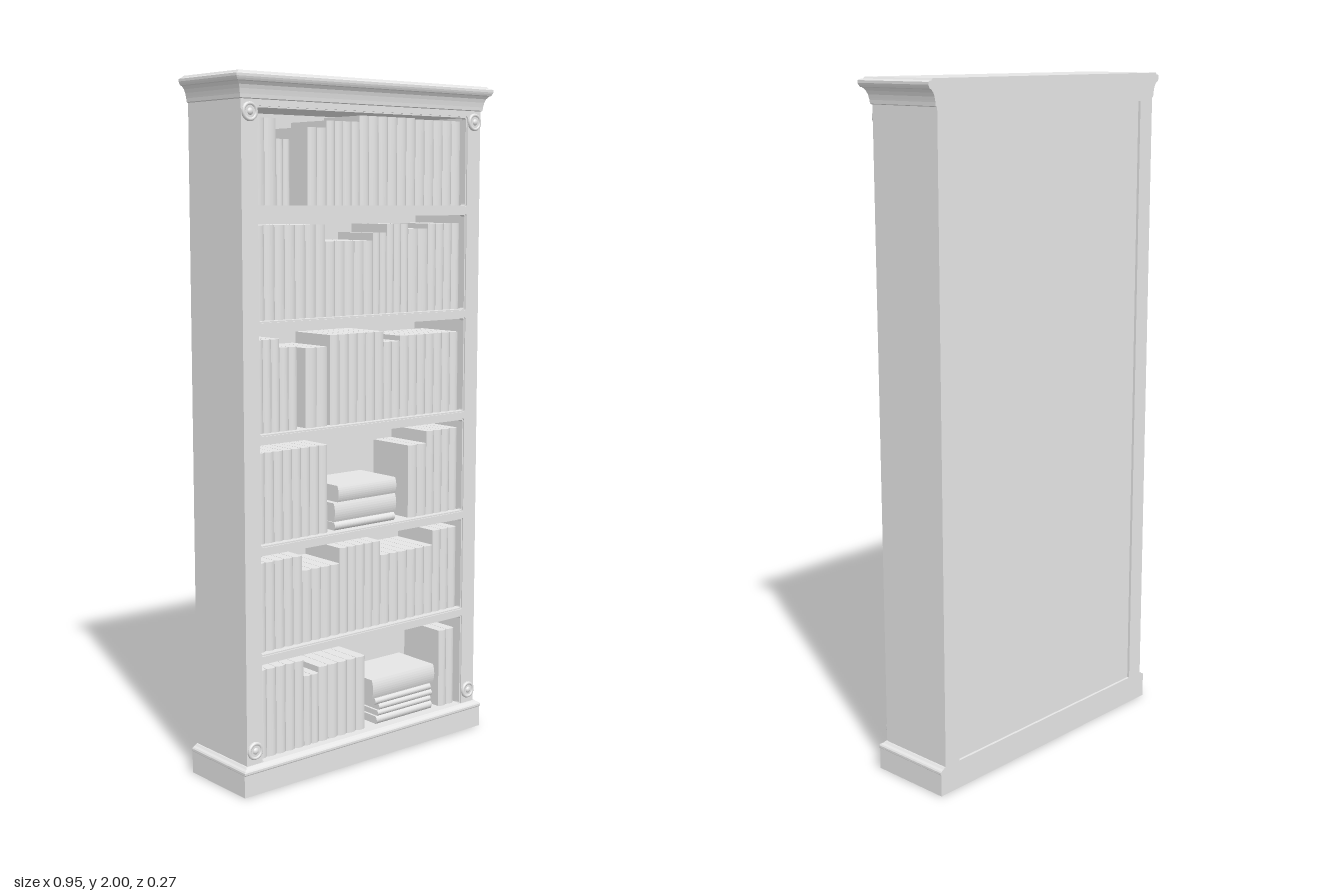
import * as THREE from 'three';

const HALF = 0.447, FRONT = 0.11, BACK = -0.135;
const INNER = 0.39, BAYS = 6, FLOOR = 0.085, PITCH = 0.3125, BAY_HEIGHT = 0.284, TOP = 1.907;
const grey = new THREE.MeshStandardMaterial({ color: 0xe5e5e5 });
grey.name = 'pale grey';

// Evenly pitched bays, the top one ending under the crown
const bayBottom = i => FLOOR + PITCH * i;
const bayTop = i => Math.min(bayBottom(i) + BAY_HEIGHT, TOP);

function add(group, name, geometry, x = 0, y = 0, z = 0) {
  const mesh = new THREE.Mesh(geometry, grey);
  mesh.name = name;
  mesh.position.set(x, y, z);
  group.add(mesh);
}

// Box given by its limits on each axis
function slab(group, name, x0, x1, y0, y1, z0, z1) {
  add(group, name, new THREE.BoxGeometry(x1 - x0, y1 - y0, z1 - z0),
    (x0 + x1) / 2, (y0 + y1) / 2, (z0 + z1) / 2);
}

// Moulding stepping out at the front and sides, flush at the back; profile is [outset, height]
function moulding(profile) {
  const rings = profile.map(([o, y]) => {
    const x = HALF + o, z = FRONT + o * 0.8;
    return [[-x, y, z], [x, y, z], [x, y, BACK], [-x, y, BACK]];
  });
  const p = [];
  const quad = (a, b, c, d) => p.push(...a, ...b, ...c, ...a, ...c, ...d);
  for (let i = 0; i < rings.length - 1; i++) {
    for (let j = 0; j < 4; j++) {
      const k = (j + 1) % 4;
      quad(rings[i][j], rings[i][k], rings[i + 1][k], rings[i + 1][j]);
    }
  }
  quad(...rings[rings.length - 1]);
  quad(...[...rings[0]].reverse());
  const g = new THREE.BufferGeometry();
  g.setAttribute('position', new THREE.Float32BufferAttribute(p, 3));
  g.computeVertexNormals();
  return g;
}

// Upright book with a rounded spine facing +z
function bookGeometry(thickness, height) {
  const w = thickness / 2 - 0.0007, r = Math.min(0.006, w * 0.5), depth = 0.165;
  const s = new THREE.Shape();
  s.moveTo(-w, r);
  s.quadraticCurveTo(0, -r, w, r);
  s.lineTo(w, depth);
  s.lineTo(-w, depth);
  s.closePath();
  return new THREE.ExtrudeGeometry(s, { depth: height, bevelEnabled: false, curveSegments: 8 })
    .rotateX(-Math.PI / 2);
}

// Opening with small rounded corners
function opening(x, y0, y1, r) {
  const path = new THREE.Path();
  path.moveTo(r - x, y0);
  path.lineTo(x - r, y0);
  path.quadraticCurveTo(x, y0, x, y0 + r);
  path.lineTo(x, y1 - r);
  path.quadraticCurveTo(x, y1, x - r, y1);
  path.lineTo(r - x, y1);
  path.quadraticCurveTo(-x, y1, -x, y1 - r);
  path.lineTo(-x, y0 + r);
  path.quadraticCurveTo(-x, y0, r - x, y0);
  return path;
}

// Flat frame layer with one opening per bay, each widened by grow
function frameLayer(depth, grow) {
  const y0 = 0.075, y1 = 1.935;
  const face = new THREE.Shape([
    new THREE.Vector2(-HALF, y0), new THREE.Vector2(HALF, y0),
    new THREE.Vector2(HALF, y1), new THREE.Vector2(-HALF, y1)]);
  for (let i = 0; i < BAYS; i++) {
    face.holes.push(opening(INNER + grow, bayBottom(i) - grow, bayTop(i) + grow, 0.006));
  }
  return new THREE.ExtrudeGeometry(face, { depth, bevelEnabled: false, curveSegments: 4 });
}

// Runs of upright books from left to right as [width, height]; height 0 is a gap
const bookRuns = [
  [[0.17, 0.26], [0.055, 0.21], [0.18, 0.227], [0.305, 0], [0.065, 0.245]],
  [[0.165, 0.258], [0.14, 0.213], [0.16, 0.258], [0.215, 0.213], [0.1, 0.258]],
  [[0.26, 0.258], [0.315, 0], [0.075, 0.222], [0.13, 0.258]],
  [[0.088, 0.26], [0.062, 0.235], [0.03, 0], [0.08, 0.228], [0.01, 0], [0.205, 0.26], [0.065, 0.228], [0.24, 0.243]],
  [[0.253, 0.26], [0.179, 0.213], [0.053, 0.235], [0.085, 0.26], [0.08, 0.245], [0.13, 0.26]],
  [[0.08, 0.235], [0.047, 0.18], [0.063, 0], [0.068, 0.215], [0.122, 0.235], [0.216, 0.253], [0.184, 0.25]],
];

// Flat books from the bottom up as [centre, width, thickness]
const lowerStack = [[0.175, 0.23, 0.025], [0.175, 0.22, 0.018], [0.18, 0.22, 0.019], [0.17, 0.23, 0.02], [0.172, 0.255, 0.06]];
const middleStack = [[0.013, 0.235, 0.025], [0.015, 0.24, 0.057], [0.022, 0.226, 0.05]];

function fillRuns(books, runs, y) {
  let x = -INNER;
  for (const [width, height] of runs) {
    const count = Math.max(2, Math.round(width / 0.034));
    const t = width / count;
    for (let i = 0; height > 0 && i < count; i++) {
      add(books, 'uprightBook', bookGeometry(t, height), x + t * (i + 0.5), y, 0.088);
    }
    x += width;
  }
}

function pileBooks(books, stack, y) {
  for (const [centre, width, t] of stack) {
    add(books, 'flatBook', bookGeometry(t, width).rotateZ(Math.PI / 2), centre + width / 2, y + t / 2, 0.086);
    y += t;
  }
}

export function createModel() {
  const model = new THREE.Group();
  model.name = 'bookcase';

  // Sides, back frame and recessed back panel
  slab(model, 'rightSide', -HALF, -0.392, 0.075, 1.94, BACK, 0.09);
  slab(model, 'leftSide', 0.392, HALF, 0.075, 1.94, BACK, 0.09);
  slab(model, 'backPanel', -0.395, 0.395, 0.07, 1.94, -0.127, -0.115);
  slab(model, 'backTopRail', -0.395, 0.395, 1.92, 1.94, BACK, -0.115);

  // Front face frame, its openings edged by a small step
  add(model, 'faceFrame', frameLayer(0.016, 0), 0, 0, 0.09);
  add(model, 'faceFrameStep', frameLayer(0.004, 0.004), 0, 0, 0.106);

  // Shelves between bays
  for (let i = 1; i < BAYS; i++) {
    slab(model, 'shelf', -0.395, 0.395, bayTop(i - 1), bayBottom(i), -0.12, 0.09);
  }
  slab(model, 'topBoard', -0.395, 0.395, TOP, 1.94, -0.12, 0.09);

  // Crown moulding
  add(model, 'crown', moulding([
    [0.001, 1.928], [0.005, 1.93], [0.006, 1.94], [0.007, 1.945], [0.009, 1.954], [0.013, 1.964],
    [0.02, 1.972], [0.025, 1.974], [0.028, 1.979], [0.03, 1.984], [0.03, 1.991],
    [0.026, 1.994], [0.019, 1.995], [0.015, 2.0]]));

  // Hollow thin-walled plinth with a moulded cap that forms the floor
  for (const x of [-0.465, 0.461]) slab(model, 'plinthSide', x, x + 0.004, 0, 0.068, BACK, 0.122);
  slab(model, 'plinthFront', -0.461, 0.461, 0, 0.068, 0.118, 0.122);
  slab(model, 'plinthBack', -0.461, 0.461, 0, 0.068, BACK, -0.131);
  add(model, 'plinthCap', moulding([
    [0.017, 0.064], [0.019, 0.067], [0.019, 0.073], [0.016, 0.077], [0.009, 0.08], [0.004, FLOOR]]));

  // Round rosettes at the four corners
  for (const x of [-0.42, 0.42]) for (const y of [0.126, 1.895]) {
    const rosette = new THREE.Group();
    rosette.name = 'rosette';
    rosette.position.set(x, y, FRONT);
    add(rosette, 'rosetteDisc', new THREE.CylinderGeometry(0.024, 0.026, 0.006, 24).rotateX(Math.PI / 2), 0, 0, 0.002);
    add(rosette, 'rosetteRing', new THREE.TorusGeometry(0.021, 0.005, 8, 24), 0, 0, 0.003);
    add(rosette, 'rosetteButton', new THREE.SphereGeometry(0.01, 16, 10).scale(1, 1, 0.7), 0, 0, 0.003);
    model.add(rosette);
  }

  // Books, upright and stacked flat
  const books = new THREE.Group();
  books.name = 'books';
  bookRuns.forEach((runs, i) => fillRuns(books, runs, bayBottom(i)));
  pileBooks(books, lowerStack, bayBottom(0));
  pileBooks(books, middleStack, bayBottom(2));
  model.add(books);
  return model;
}
